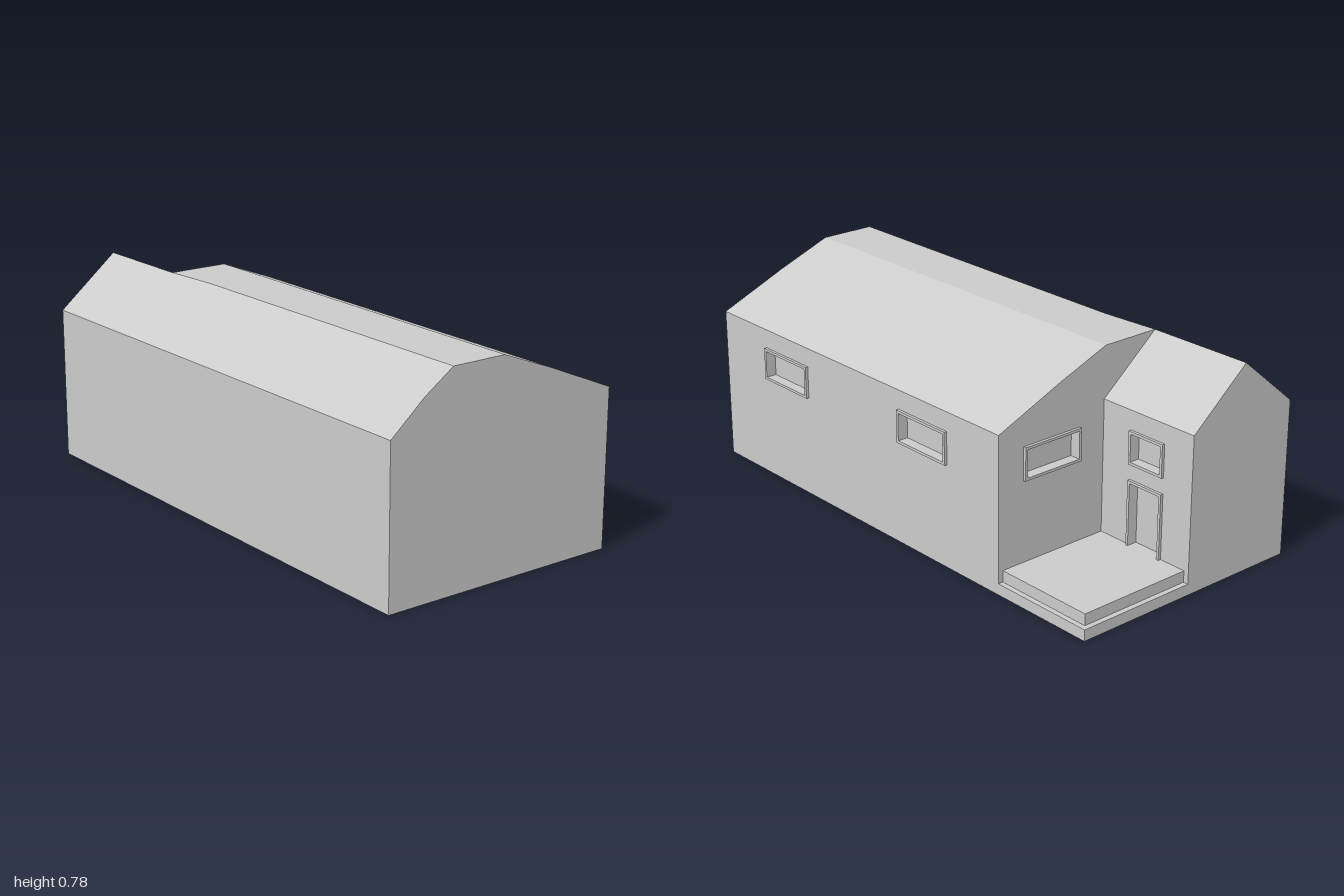
import * as THREE from 'three';

const grey = new THREE.MeshStandardMaterial({ color: 0xcccccc, flatShading: true });
const greyDouble = new THREE.MeshStandardMaterial({ color: 0xcccccc, flatShading: true, side: THREE.DoubleSide });

const LEFT = 0.47, RIGHT = -0.48, FRONT = 1, BACK = -1;
const CORNER_X = -0.008, CORNER_Z = -0.58; // inner corner of the L-shaped plan
const EAVE = 0.585, RIDGE = 0.78;

// Skin rows of points [x, y, z] with flat quads
function loft(name, rows, material) {
  const pos = [];
  for (let i = 0; i < rows.length - 1; i++) {
    for (let j = 0; j < rows[i].length - 1; j++) {
      const a = rows[i][j], b = rows[i][j + 1], c = rows[i + 1][j + 1], d = rows[i + 1][j];
      pos.push(...a, ...d, ...c, ...a, ...c, ...b);
    }
  }
  const geo = new THREE.BufferGeometry();
  geo.setAttribute('position', new THREE.Float32BufferAttribute(pos, 3));
  geo.computeVertexNormals();
  const mesh = new THREE.Mesh(geo, material);
  mesh.name = name;
  return mesh;
}

const toShape = (pts) => new THREE.Shape(pts.map(([x, y]) => new THREE.Vector2(x, y)));
const rect = (u0, u1, v0, v1) => [[u0, v0], [u1, v0], [u1, v1], [u0, v1]];

// Flat wall facing local +z; each opening gets a framed, recessed pane
function wall(name, outline, openings = []) {
  const group = new THREE.Group();
  group.name = name;
  const shape = toShape(outline);
  const border = 0.01, proud = 0.011, recess = 0.032;
  for (const { part, u0, u1, v0, v1 } of openings) {
    const inner = rect(u0 + border, u1 - border, v0 + border, v1 - border);
    shape.holes.push(toShape(inner));
    const frameShape = toShape(rect(u0, u1, v0, v1));
    frameShape.holes.push(toShape(inner));
    const frame = new THREE.Mesh(
      new THREE.ExtrudeGeometry(frameShape, { depth: proud + recess, bevelEnabled: false }), grey);
    frame.position.z = -recess;
    frame.name = part + 'Frame';
    const pane = new THREE.Mesh(new THREE.ShapeGeometry(toShape(inner)), grey);
    pane.position.z = -recess + 0.002;
    pane.name = part + 'Pane';
    group.add(frame, pane);
  }
  const surface = new THREE.Mesh(new THREE.ShapeGeometry(shape), grey);
  surface.name = name + 'Surface';
  group.add(surface);
  return group;
}

export function createModel() {
  const house = new THREE.Group();
  house.name = 'house';

  // Roof outlines, from the right eave to the left eave
  const mainFront = [[RIGHT, EAVE], [-0.345, 0.7], [-0.228, RIDGE], [-0.01, RIDGE], [0.2, 0.699], [LEFT, EAVE]];
  const mainBack = [[RIGHT, EAVE], [-0.345, 0.698], [-0.245, RIDGE], [-0.01, RIDGE], [0.2, 0.699], [LEFT, EAVE]];
  const wing = [[RIGHT, EAVE], [-0.245, RIDGE], [CORNER_X, EAVE]];
  const at = (pts, z) => pts.map(([x, y]) => [x, y, z]);

  house.add(
    loft('mainRoof', [at(mainBack, CORNER_Z), at(mainFront, -0.35), at(mainFront, FRONT)], grey),
    loft('wingRoof', [at(wing, BACK), at(wing, CORNER_Z)], grey));

  const place = (part, x, z, turn) => {
    part.position.set(x, 0, z);
    part.rotation.y = turn;
    house.add(part);
  };
  const gable = (pts) => [[pts[0][0], 0], [pts[pts.length - 1][0], 0], ...[...pts].reverse()];
  const mirrored = (pts) => pts.map(([x, y]) => [-x, y]).reverse();
  const windowAt = (u0, u1) => ({ part: 'window', u0, u1, v0: 0.39, v1: 0.513 });

  // Gable ends
  place(wall('frontGable', gable(mainFront)), 0, FRONT, 0);
  place(wall('mainBackGable', mirrored(gable(mainBack)), [windowAt(-0.36, -0.105)]), 0, CORNER_Z, Math.PI);
  place(wall('wingBackGable', mirrored(gable(wing))), 0, BACK, Math.PI);

  // Long side walls; on the left-facing ones u runs along -z
  place(wall('leftWall', rect(-FRONT, -CORNER_Z, 0, EAVE), [windowAt(-0.735, -0.475), windowAt(0.055, 0.315)]),
    LEFT, 0, Math.PI / 2);
  place(wall('wingLeftWall', rect(-CORNER_Z, -BACK, 0, EAVE),
    [windowAt(0.712, 0.87), { part: 'door', u0: 0.712, u1: 0.87, v0: 0.075, v1: 0.33 }]),
  CORNER_X, 0, Math.PI / 2);
  place(wall('rightWall', rect(BACK, FRONT, 0, EAVE)), RIGHT, 0, -Math.PI / 2);

  // L-shaped underside
  const floor = wall('floor', [[RIGHT, BACK], [CORNER_X, BACK], [CORNER_X, CORNER_Z],
    [LEFT, CORNER_Z], [LEFT, FRONT], [RIGHT, FRONT]]);
  floor.rotation.x = Math.PI / 2;
  house.add(floor);

  // Stepped porch shell, open underneath
  const edge = (x, z, y) => [[CORNER_X, y, z], [x, y, z], [x, y, CORNER_Z]];
  house.add(loft('porch', [
    edge(LEFT, BACK, 0), edge(LEFT, BACK, 0.042),
    edge(0.45, -0.98, 0.042), edge(0.45, -0.98, 0.085),
    edge(CORNER_X, CORNER_Z, 0.085),
  ], greyDouble));

  return house;
}
